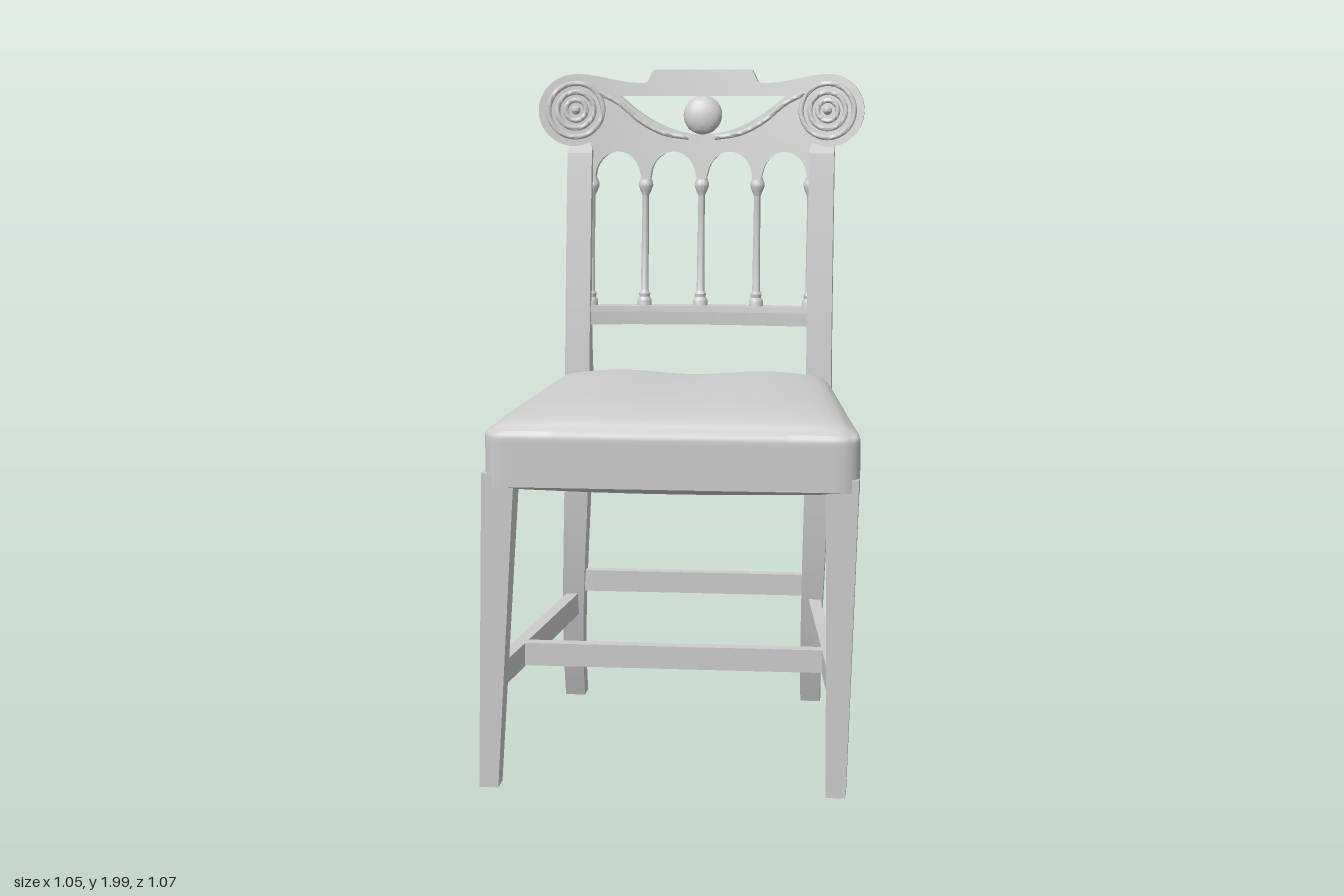
import * as THREE from 'three';
import { mergeVertices, toCreasedNormals } from 'three/addons/utils/BufferGeometryUtils.js';

const material = new THREE.MeshStandardMaterial({ color: 0xcccccc, side: THREE.DoubleSide });
const { lerp, clamp, smoothstep } = THREE.MathUtils;
const SIDES = [-1, 1];

export function createModel() {
  const group = new THREE.Group();

  function add(name, geometry, crease = 0.6) {
    geometry.deleteAttribute('uv');
    geometry.deleteAttribute('normal');
    const mesh = new THREE.Mesh(toCreasedNormals(mergeVertices(geometry, 1e-5), crease), material);
    mesh.name = name;
    group.add(mesh);
    return mesh;
  }

  // Move every vertex of a geometry by a rule
  function move(geometry, rule) {
    const p = geometry.attributes.position;
    for (let i = 0; i < p.count; i++) p.setXYZ(i, ...rule(p.getX(i), p.getY(i), p.getZ(i)));
    return geometry;
  }

  // Box whose coordinates run from -1 to 1 before the rule is applied
  const warp = (name, segments, rule, crease) =>
    add(name, move(new THREE.BoxGeometry(2, 2, 2, ...segments), rule), crease);

  // Sabre curve of the back posts, and the bowed surface of the back
  const postZ = y => y > 0.9
    ? -0.352 - 0.112 * ((y - 0.9) / 0.97) ** 1.4
    : -0.352 - 0.151 * ((0.9 - y) / 0.9) ** 2.2;
  const backZ = (x, y) => postZ(y) - 0.034 + 0.034 * (x / 0.37) ** 2;

  // Slab on the bowed back between two height curves
  function strip(name, n, xAt, bottom, top, depth, offset = 0) {
    return warp(name, [n, 4, 1], (u, v, w) => {
      const x = xAt(u);
      const y = lerp(bottom(x), top(x), (v + 1) / 2);
      return [x, y, backZ(x, y) + offset + w * depth / 2];
    });
  }

  // Upholstered seat: trapezoid, rounded upper edge, saddle top and sagging underside
  warp('seat', [40, 10, 40], (u, v, w) => {
    const r = 0.06, hy = 0.11;
    let p = new THREE.Vector3(u * 0.5, v * hy, w * 0.43);
    const inner = new THREE.Vector3(clamp(p.x, r - 0.5, 0.5 - r), Math.min(p.y, hy - r), clamp(p.z, r - 0.43, 0.43 - r));
    const d = p.clone().sub(inner);
    const size = Math.max(Math.abs(d.x), Math.abs(d.y), Math.abs(d.z));
    if (size > 0) p = inner.add(d.setLength(size));
    const a = p.x / 0.5, c = p.z / 0.43, t = (1 - c) / 2;
    const z = lerp(0.53, -0.325 - 0.045 * (1 - a * a), t);
    const x = a * lerp(0.522, 0.415, t) + lerp(0.008, -0.005, t);
    const crown = (1 - a ** 4) * (1 - c ** 4);
    let y = p.y + 0.975;
    if (v > 0) y += v * (-0.05 + 0.035 * t + 0.045 * crown - 0.02 * Math.exp(-7 * a * a) * t);
    if (v < 0) y += v * 0.045 * Math.sqrt(Math.max(0, (1 - a * a) * (1 - c * c)));
    return [x, y, z];
  }, 0.75);

  for (const s of SIDES) {
    // Back legs rise into posts, rounded behind and thinned where they carry the crest
    warp('backPost', [6, 48, 2], (u, v, w) => {
      const y = lerp(0.005, 1.9, (v + 1) / 2);
      const low = smoothstep(0.95 - y, 0, 0.95);
      const cx = s > 0 ? 0.372 - 0.024 * low : -0.372 - 0.035 * low;
      const half = lerp(0.038, 0.031, low) * (1 - 0.5 * smoothstep(y, 1.75, 1.9));
      const end = smoothstep(y, 1.82, 1.9);
      let depth = 0.042 - 0.008 * low;
      if (w > 0) depth *= 1 - smoothstep(y, 1.74, 1.78);
      if (w < 0) depth *= (1 - 0.5 * u * u * smoothstep(y, 1.08, 1.15)) * (1 - 0.45 * end);
      return [cx + u * half, y, postZ(y) + w * depth];
    });

    // Tapered square front legs
    warp('frontLeg', [1, 1, 1], (u, v, w) => {
      const t = (v + 1) / 2;
      const cx = s > 0 ? lerp(0.465, 0.475, t) : lerp(-0.503, -0.468, t);
      return [cx + u * lerp(0.027, 0.045, t), lerp(0.01, 0.9, t), lerp(0.488, 0.472, t) + w * lerp(0.032, 0.048, t)];
    });

    // Side stretchers
    warp('sideStretcher', [1, 1, 1], (u, v, w) => {
      const t = (w + 1) / 2;
      const cx = s > 0 ? lerp(0.36, 0.455, t) : lerp(-0.397, -0.478, t);
      return [cx + u * 0.018, 0.327 + v * 0.034, lerp(-0.4, 0.48, t)];
    });
  }

  // Cross and back stretchers
  warp('crossStretcher', [1, 1, 1], (u, v, w) => [-0.013 + u * 0.435, 0.329 + v * 0.033, 0.25 + w * 0.02]);
  warp('backStretcher', [1, 1, 1], (u, v, w) => [-0.025 + u * 0.35, 0.402 + v * 0.033, -0.395 + w * 0.018]);

  // Crest rail outline: round ends, raised tablet and a half-moon opening
  const END = 0.39, R = 0.11, CY = 1.872, HOLE = 0.255;
  const round = a => Math.sqrt(Math.max(1e-5, R * R - (a - END) ** 2));
  const crestTop = x => {
    const a = Math.abs(x);
    if (a > END) return CY + round(a);
    return 1.955 + 0.027 * smoothstep(a, 0.2, END) + 0.041 * (1 - smoothstep(a, 0.15, 0.175));
  };
  const crestBottom = x => {
    const a = Math.abs(x);
    return a > END ? CY - round(a) : lerp(1.778, CY - R, smoothstep(a, 0.32, END));
  };
  const holeTop = () => 1.915;
  const holeBottom = x => 1.915 - 0.118 * (1 - (x / HOLE) ** 2);
  strip('crestUpper', 60, u => u * HOLE, holeTop, crestTop, 0.048);
  strip('crestLower', 40, u => u * HOLE, crestBottom, holeBottom, 0.048);
  for (const s of SIDES) {
    strip('crestEnd', 28, u => s * (HOLE + 0.245 * Math.sin((s * u + 1) * Math.PI / 4)), crestBottom, crestTop, 0.048);

    // Carved rosette on each end: concentric rings around a boss
    for (const r of [0.082, 0.055, 0.031]) {
      add('scrollRing', move(new THREE.TorusGeometry(r, 0.008, 8, 36), (x, y, z) => {
        const px = x + s * 0.388, py = y + CY;
        return [px, py, backZ(px, py) + 0.024 + z];
      }), 1);
    }
    add('scrollBoss', move(new THREE.SphereGeometry(0.014, 14, 10), (x, y, z) =>
      [x + s * 0.388, y + CY, backZ(s * 0.388, CY) + 0.024 + z]), 1.2);

    // Carved band sweeping from the rosette down below the opening
    const band = [[0.32, 1.925], [0.26, 1.895], [0.19, 1.838], [0.12, 1.802], [0.04, 1.788]].map(([x, y]) =>
      new THREE.Vector3(s * x, y, backZ(x, y) + 0.024));
    add('scrollBand', new THREE.TubeGeometry(new THREE.CatmullRomCurve3(band), 28, 0.008, 8), 1);
  }

  // Carved medallion within the opening
  add('medallion', move(new THREE.SphereGeometry(0.06, 28, 18), (x, y, z) =>
    [x, y + 1.857, backZ(0, y + 1.857) + z * 0.5]), 1);

  // Arcade of four arches beneath the crest
  const arch = x => {
    const d = Math.min(...[0.0875, 0.2575].map(c => Math.abs(Math.abs(x) - c))) / 0.071;
    return 1.66 + (d < 1 ? 0.085 * Math.sqrt(1 - d * d) : 0);
  };
  const across = u => u * 0.34;
  strip('arcade', 120, across, arch, () => 1.79, 0.036);
  strip('arcadeMoulding', 24, across, () => 1.762, () => 1.78, 0.05);

  // Slender columns with capitals and bases, following the lean of the back
  const profile = [[0, 1.26], [0.022, 1.26], [0.022, 1.29], [0.016, 1.3], [0.018, 1.31], [0.012, 1.32],
    [0.01, 1.61], [0.017, 1.625], [0.023, 1.642], [0.021, 1.652], [0.014, 1.67], [0, 1.67]]
    .map(p => new THREE.Vector2(...p));
  for (const cx of [-0.338, -0.173, 0, 0.173, 0.338]) {
    add('column', move(new THREE.LatheGeometry(profile, 14), (x, y, z) =>
      [x + cx, y, backZ(cx, y) + z]));
  }

  // Lower back rail with rounded rear and a front bead
  warp('lowerBackRail', [24, 8, 2], (u, v, w) => {
    const x = across(u), y = 1.244 + v * 0.028;
    const depth = w < 0 ? 0.03 * (1 - 0.6 * v * v) : 0.024;
    return [x, y, backZ(x, 1.244) + w * depth];
  });
  strip('lowerRailBead', 24, across, () => 1.256, () => 1.274, 0.062, 0.003);

  return group;
}
